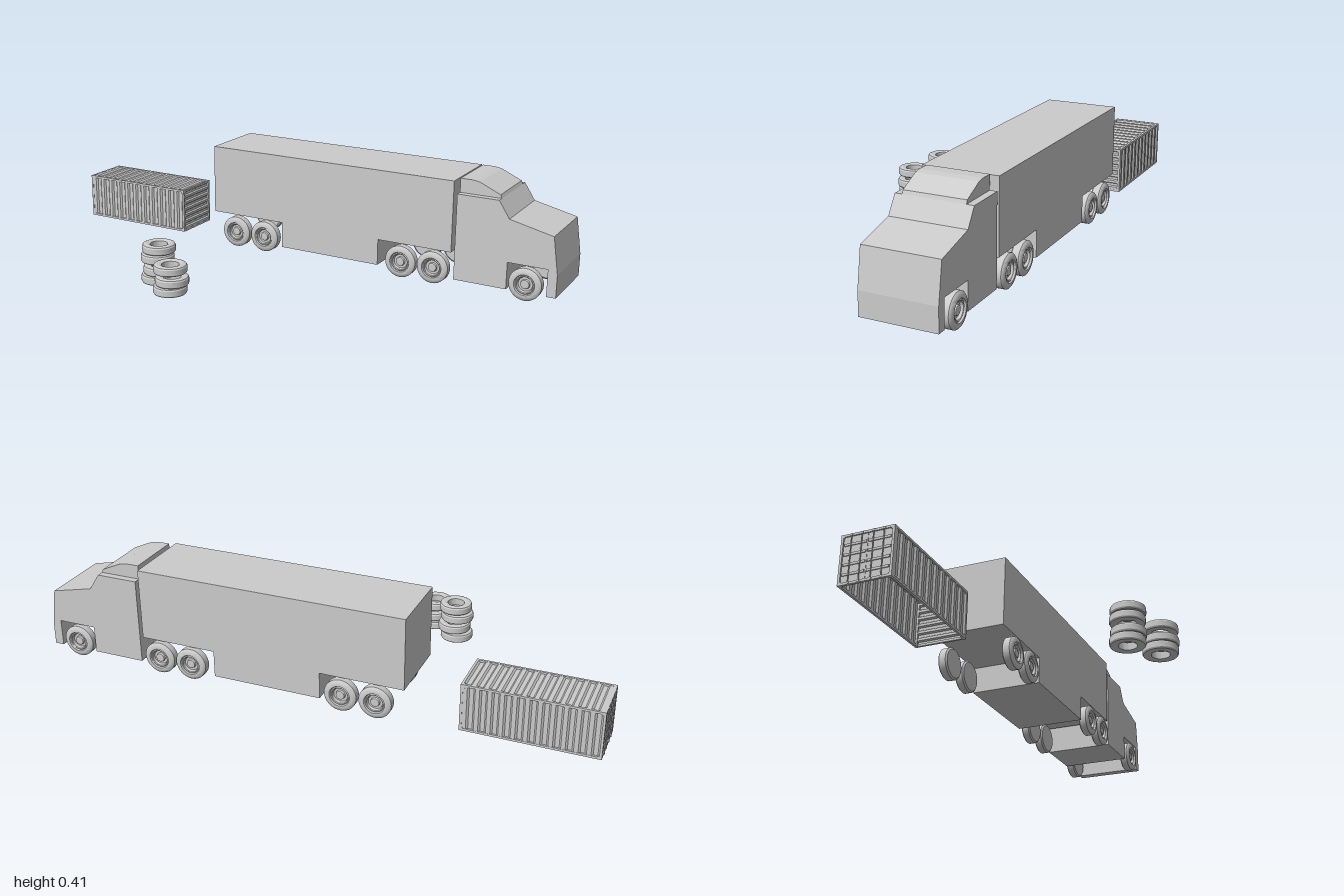
import * as THREE from 'three';
import { toCreasedNormals } from 'three/addons/utils/BufferGeometryUtils.js';

const solid = new THREE.MeshStandardMaterial({ color: 0xcccccc });
const thin = new THREE.MeshStandardMaterial({ color: 0xcccccc, flatShading: true, side: THREE.DoubleSide });

function add(parent, name, geometry, x = 0, y = 0, z = 0, material = solid) {
  const mesh = new THREE.Mesh(geometry, material);
  mesh.name = name;
  mesh.position.set(x, y, z);
  parent.add(mesh);
  return mesh;
}

function group(parent, name, x = 0, y = 0, z = 0) {
  const g = new THREE.Group();
  g.name = name;
  g.position.set(x, y, z);
  parent.add(g);
  return g;
}

// Side profile in x/y, extruded between two z values
function slab(points, z0, z1) {
  const shape = new THREE.Shape(points.map(([x, y]) => new THREE.Vector2(x, y)));
  const g = new THREE.ExtrudeGeometry(shape, { depth: z1 - z0, bevelEnabled: false });
  return g.translate(0, 0, z0);
}

// Surface of revolution with crisp profile edges
function turned(points, sides = 32) {
  const g = new THREE.LatheGeometry(points.map(([r, y]) => new THREE.Vector2(r, y)), sides);
  return toCreasedNormals(g, 0.5);
}

// Ribbed sheet: trapezoid ridges run along its height
function corrugated(width, height, count, depth) {
  const g = new THREE.PlaneGeometry(width, height, count * 4, 1);
  const at = [0, 0.35, 0.5, 0.85];
  const p = g.attributes.position;
  const columns = count * 4 + 1;
  for (let i = 0; i < p.count; i++) {
    const c = i % columns;
    p.setX(i, ((Math.floor(c / 4) + at[c % 4]) / count - 0.5) * width);
    p.setZ(i, c % 4 < 2 ? 0 : -depth);
  }
  g.computeVertexNormals();
  return g;
}

// Loose tyre: closed ring standing on y = 0
const tyreGeometry = turned([
  [0.031, 0.004], [0.040, 0], [0.050, 0], [0.057, 0.003], [0.060, 0.008],
  [0.060, 0.026], [0.057, 0.031], [0.050, 0.034], [0.040, 0.034], [0.031, 0.030], [0.031, 0.004],
]);

// Road wheel: outer face towards +y, with a recessed rim and a hub
const wheelTyre = turned([
  [0, 0], [0.052, 0], [0.058, 0.005], [0.058, 0.030], [0.054, 0.034], [0.045, 0.038],
  [0.037, 0.038], [0.034, 0.033],
]);
const wheelRim = turned([
  [0.034, 0.033], [0.031, 0.035], [0.028, 0.033], [0.025, 0.024], [0.017, 0.024],
  [0.015, 0.031], [0.010, 0.033], [0, 0.033],
]);

function addWheel(parent, x, side) {
  const wheel = group(parent, 'wheel', x, 0.079, side > 0 ? -0.172 : -0.381);
  wheel.rotation.x = side * Math.PI / 2;
  add(wheel, 'tyre', wheelTyre);
  add(wheel, 'rim', wheelRim);
}

function addContainer(parent) {
  const L = 0.466, H = 0.171, W = 0.184, B = 0.008;
  const box = group(parent, 'container', -0.766, 0.104, -0.281);
  const inL = L - 2 * B, inH = H - 2 * B, inW = W - 2 * B;

  // Edge beams and corner blocks
  for (const a of [-1, 1]) for (const b of [-1, 1]) {
    const y = a * (H - B) / 2;
    add(box, 'longRail', new THREE.BoxGeometry(L - B, B, B), 0, y, b * (W - B) / 2);
    add(box, 'crossRail', new THREE.BoxGeometry(B, B, W - B), b * (L - B) / 2, y, 0);
    add(box, 'cornerPost', new THREE.BoxGeometry(B, H, B), a * (L - B) / 2, 0, b * (W - B) / 2);
    for (const c of [-1, 1]) {
      add(box, 'cornerBlock', new THREE.BoxGeometry(0.014, 0.012, 0.012),
        c * (L / 2 - 0.007), a * (H / 2 - 0.006), b * (W / 2 - 0.006));
    }
  }

  // Ribbed side walls, roof and end wall
  const wall = corrugated(inL, inH, 11, 0.006);
  for (const s of [-1, 1]) {
    const side = add(box, 'sideWall', wall, 0, 0, s * (W / 2 - 0.001), thin);
    if (s < 0) side.rotation.y = Math.PI;
  }
  const roof = add(box, 'roof', corrugated(inL, inW, 11, 0.006), 0, H / 2 - 0.001, 0, thin);
  roof.rotation.x = -Math.PI / 2;
  const end = corrugated(inH, inW, 6, 0.006);
  end.rotateZ(Math.PI / 2).rotateX(Math.PI / 2).rotateZ(-Math.PI / 2);
  end.computeBoundingBox();
  // Rebuild the end sheet upright: ridges across z, depth towards -x
  const p = end.attributes.position;
  const sheet = corrugated(inH, inW, 6, 0.006).attributes.position;
  for (let i = 0; i < p.count; i++) p.setXYZ(i, sheet.getZ(i), sheet.getX(i), sheet.getY(i));
  add(box, 'endWall', end, L / 2 - 0.001, 0, 0, thin);

  // Doors with locking rods, on the -x end
  for (const s of [-1, 1]) {
    add(box, 'door', new THREE.BoxGeometry(0.004, inH, inW / 2 - 0.001), -L / 2 + 0.006, 0, s * inW / 4);
    for (const y of [-0.05, -0.017, 0.017, 0.05]) {
      add(box, 'doorRib', new THREE.BoxGeometry(0.004, 0.008, inW / 2 - 0.008), -L / 2 + 0.003, y, s * inW / 4);
    }
    for (const z of [0.02, 0.056]) {
      add(box, 'lockRod', new THREE.CylinderGeometry(0.002, 0.002, H, 8), -L / 2, 0, s * z);
      for (const y of [-1, 1]) {
        add(box, 'rodKeeper', new THREE.BoxGeometry(0.004, 0.007, 0.008), -L / 2, y * (H / 2 - 0.004), s * z);
      }
    }
  }
}

export function createModel() {
  const model = new THREE.Group();
  model.name = 'truckYard';
  const zBack = -0.408, zFront = -0.146;

  // Trailer with a lowered belly between the wheel sets
  const truck = group(model, 'truck');
  add(truck, 'trailer', slab([
    [-0.355, 0.145], [-0.055, 0.145], [-0.055, 0.049], [0.342, 0.049], [0.342, 0.145],
    [0.622, 0.145], [0.622, 0.402], [-0.355, 0.402],
  ], zBack, zFront));

  // Cab with a wheel opening, and the narrower roof fairing
  add(truck, 'cab', slab([
    [0.635, 0.048], [0.826, 0.048], [0.826, 0.145], [0.967, 0.145], [0.967, 0.048], [1, 0.048],
    [1, 0.13], [0.98, 0.262], [0.824, 0.298], [0.785, 0.358], [0.635, 0.358],
  ], zBack, zFront));
  add(truck, 'roofFairing', slab([
    [0.635, 0.358], [0.785, 0.358], [0.78, 0.37], [0.705, 0.404], [0.68, 0.408], [0.635, 0.408],
  ], -0.383, -0.171));

  for (const x of [-0.255, -0.131, 0.433, 0.556, 0.893]) {
    for (const side of [-1, 1]) addWheel(truck, x, side);
  }

  addContainer(model);

  // Two piles of loose tyres, each slightly askew: x, bottom y, z
  const piles = group(model, 'tyrePiles');
  const tyres = [
    [-0.318, 0, 0.285], [-0.308, 0.034, 0.285], [-0.318, 0.077, 0.285], [-0.311, 0.113, 0.285],
    [-0.212, 0, 0.361], [-0.203, 0.034, 0.361], [-0.209, 0.077, 0.361],
  ];
  for (const [x, y, z] of tyres) add(piles, 'looseTyre', tyreGeometry, x, y, z);
  return model;
}
